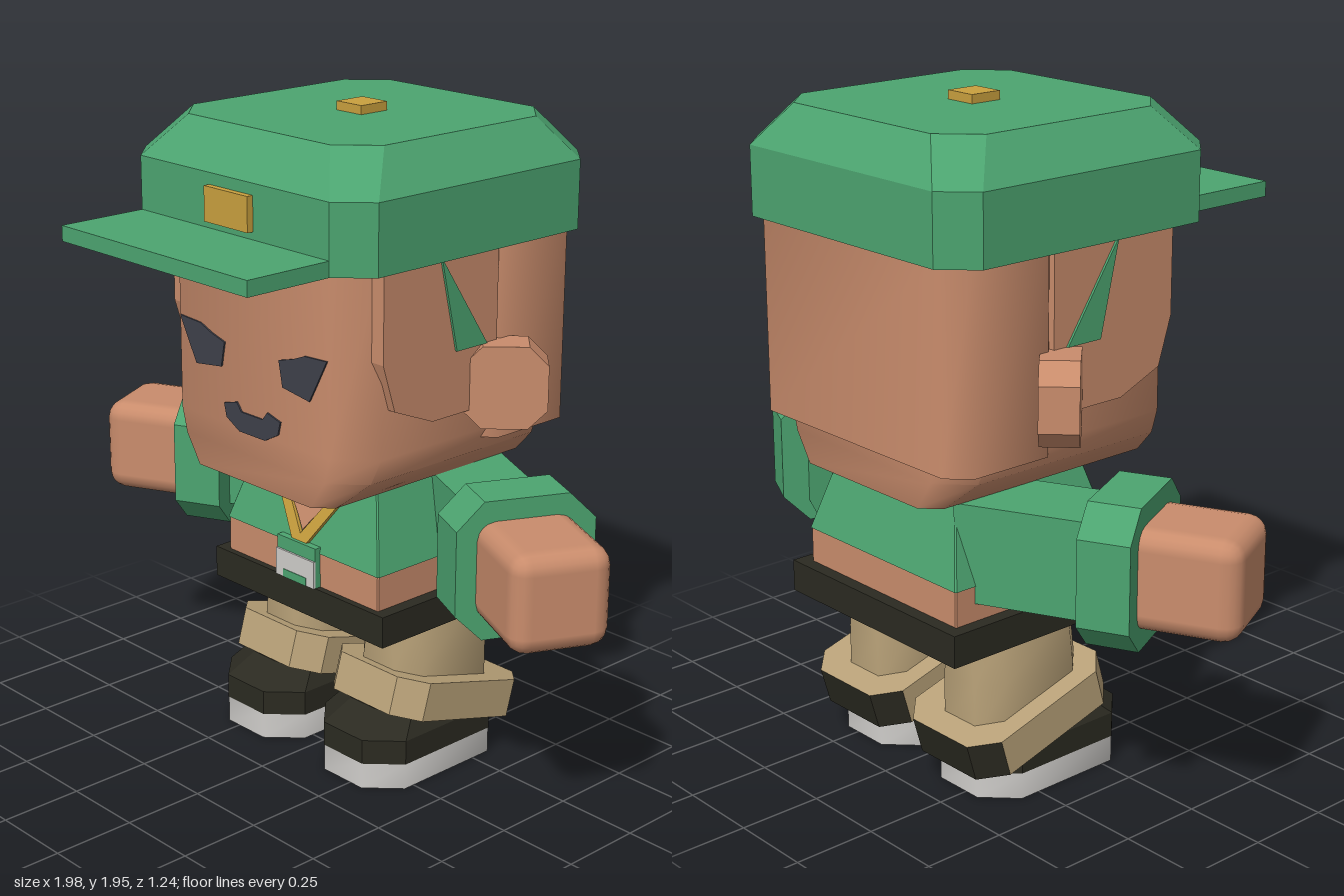
import * as THREE from 'three';
import { toCreasedNormals } from 'three/addons/utils/BufferGeometryUtils.js';
import { RoundedBoxGeometry } from 'three/addons/geometries/RoundedBoxGeometry.js';

const mat = (name, color) => {
  const m = new THREE.MeshStandardMaterial({ color });
  m.name = name;
  return m;
};

// Rectangle with chamfered corners, anticlockwise seen from above
const ring = (y, x0, x1, z0, z1, c) => [
  [x1, z1 - c], [x1, z0 + c], [x1 - c, z0], [x0 + c, z0],
  [x0, z0 + c], [x0, z1 - c], [x0 + c, z1], [x1 - c, z1],
].map(([x, z]) => new THREE.Vector3(x, y, z));

// Closed solid through rings, bottom to top; sides listed in accent use the second material
function loft(rings, accent = []) {
  const tris = [[], []];
  for (let r = 0; r + 1 < rings.length; r++) {
    for (let i = 0; i < 8; i++) {
      const j = (i + 1) % 8, lo = rings[r], hi = rings[r + 1];
      tris[accent.includes(i) ? 1 : 0].push(lo[i], lo[j], hi[j], lo[i], hi[j], hi[i]);
    }
  }
  const bottom = rings[0], top = rings[rings.length - 1];
  for (let i = 1; i < 7; i++) {
    tris[0].push(top[0], top[i], top[i + 1], bottom[0], bottom[i + 1], bottom[i]);
  }
  const g = new THREE.BufferGeometry().setFromPoints([...tris[0], ...tris[1]]);
  if (accent.length) {
    g.addGroup(0, tris[0].length, 0);
    g.addGroup(tris[0].length, tris[1].length, 1);
  }
  g.computeVertexNormals();
  return g;
}

// Flat outline given thickness, centred on its own plane
function plate(points, depth = 0.008) {
  const shape = new THREE.Shape(points.map(([x, y]) => new THREE.Vector2(x, y)));
  return new THREE.ExtrudeGeometry(shape, { depth, bevelEnabled: false }).translate(0, 0, -depth / 2);
}

export function createModel() {
  const green = mat('green cloth', 0x4ca470);
  const skin = mat('skin', 0xc98c6c);
  const gold = mat('gold', 0xc9a03e);
  const tan = mat('tan trousers', 0xb8a178);
  const dark = mat('dark leather', 0x2b2a21);
  const pale = mat('pale sole', 0xcfcdca);
  const ink = mat('face ink', 0x3e404a);

  const model = new THREE.Group();
  model.name = 'cappedFigure';
  const add = (name, geometry, material, x = 0, y = 0, z = 0, parent = model) => {
    const m = new THREE.Mesh(geometry, material);
    m.name = name;
    m.position.set(x, y, z);
    parent.add(m);
    return m;
  };
  const box = (w, h, d) => new THREE.BoxGeometry(w, h, d);

  // Cap
  add('cap', loft([
    ring(1.6, -0.48, 0.48, -0.62, 0.34, 0.09),
    ring(1.8, -0.48, 0.48, -0.62, 0.34, 0.09),
    ring(1.92, -0.39, 0.39, -0.54, 0.245, 0.1),
  ]), green);
  add('brim', box(0.78, 0.045, 0.3), green, 0, 1.6225, 0.47);
  add('capBadge', box(0.18, 0.1, 0.03), gold, 0, 1.717, 0.345);
  add('capButton', box(0.1, 0.035, 0.1), gold, 0, 1.928, -0.145);

  // Head with narrowing jaw, and the fuller back of the head
  add('head', toCreasedNormals(loft([
    ring(0.9, -0.29, 0.29, -0.56, 0.27, 0.05),
    ring(0.985, -0.385, 0.385, -0.56, 0.27, 0.09),
    ring(1.06, -0.415, 0.415, -0.56, 0.27, 0.1),
    ring(1.62, -0.415, 0.415, -0.56, 0.27, 0.1),
  ]), 0.9), skin);
  add('headBack', toCreasedNormals(loft([
    ring(1.03, -0.44, 0.44, -0.59, -0.21, 0.06),
    ring(1.62, -0.44, 0.44, -0.59, -0.21, 0.06),
  ]), 0.9), skin);

  // Face
  const eye = [[0.31, 1.34], [0.22, 1.335], [0.17, 1.315], [0.115, 1.3],
    [0.13, 1.225], [0.24, 1.21], [0.27, 1.265]];
  add('mouth', plate([[-0.12, 1.12], [-0.065, 1.135], [-0.045, 1.11], [0.045, 1.11], [0.065, 1.135],
    [0.12, 1.12], [0.11, 1.08], [0.055, 1.05], [-0.055, 1.05], [-0.11, 1.08]]), ink, 0, 0, 0.271);

  // Torso, belt and shirt
  add('belly', loft([
    ring(0.5, -0.325, 0.325, -0.5, 0.09, 0.004),
    ring(0.665, -0.325, 0.325, -0.5, 0.09, 0.004),
  ]), skin);
  add('shirt', loft([
    ring(0.665, -0.328, 0.328, -0.503, 0.093, 0.004),
    ring(0.905, -0.255, 0.255, -0.44, 0.03, 0.004),
  ]), green);
  add('belt', box(0.73, 0.095, 0.65), dark, 0, 0.513, -0.215);

  // Open collar lying on the sloping chest
  const collar = new THREE.Group();
  collar.name = 'collar';
  collar.position.set(0, 0.665, 0.094);
  collar.rotation.x = -0.257;
  model.add(collar);
  add('openNeck', plate([[-0.16, 0.243], [0.16, 0.243], [0.03, 0.09], [0, 0.05], [-0.03, 0.09]]), skin, 0, 0, 0, collar);

  // Buckle
  add('buckleTop', box(0.165, 0.125, 0.03), green, 0, 0.622, 0.095);
  add('bucklePlate', box(0.165, 0.084, 0.008), pale, 0, 0.602, 0.112);
  add('buckleInset', box(0.1, 0.025, 0.006), green, 0, 0.573, 0.115);

  for (const s of [1, -1]) {
    const side = s > 0 ? 'left' : 'right';
    const mirror = (pts) => pts.map(([x, y]) => [x * s, y]);
    add(side + 'Eye', plate(mirror(eye)), ink, 0, 0, 0.271);
    add(side + 'Strap', plate(mirror([[0.187, 0.243], [0.147, 0.243], [0, 0.04], [0, 0.015], [0.03, 0.015]]), 0.02),
      gold, 0, 0, 0, collar);

    // Side of the head: sideburn panel, green flash and ear
    add(side + 'Sideburn', plate([[0.19, 1.62], [0.19, 1.34], [0.145, 1.2], [0, 1.14],
      [-0.25, 1.14], [-0.25, 1.62]], 0.06), skin, s * 0.41).rotation.y = -Math.PI / 2;
    add(side + 'Flash', plate([[-0.02, 1.6], [-0.085, 1.325], [-0.205, 1.325]]),
      green, s * 0.443).rotation.y = -Math.PI / 2;
    const ear = loft([-0.055, 0.055].map((y) => ring(y, -0.12, 0.12, -0.12, 0.12, 0.055)));
    add(side + 'Ear', ear.rotateX(Math.PI / 2), skin, s * 0.471, 1.205, -0.254).rotation.y = s * Math.PI / 4;

    // Arm reaching out and forward along its own x axis
    const arm = new THREE.Group();
    arm.name = side + 'Arm';
    arm.position.set(s * 0.63, 0.756, -0.146);
    arm.rotation.y = s > 0 ? -0.45 : Math.PI + 0.45;
    model.add(arm);
    add('sleeve', box(0.44, 0.285, 0.25), green, -0.24, 0, 0, arm);
    const cuff = loft([-0.075, 0.075].map((y) => ring(y, -0.205, 0.205, -0.205, 0.205, 0.08)));
    add('sleeveCuff', cuff.rotateZ(-Math.PI / 2), green, 0, 0, 0, arm);
    add('hand', new RoundedBoxGeometry(0.36, 0.29, 0.29, 2, 0.055), skin, 0.172, 0, 0, arm);

    // Leg and shoe
    const leg = new THREE.Group();
    leg.name = side + 'Leg';
    leg.position.x = s * 0.218;
    model.add(leg);
    add('trouserLeg', toCreasedNormals(loft([
      ring(0.18, -0.125, 0.125, -0.4, -0.02, 0.06),
      ring(0.34, -0.125, 0.125, -0.4, -0.02, 0.06),
      ring(0.48, -0.105, 0.105, -0.4, -0.02, 0.06),
    ]), 0.9), tan, 0, 0, 0, leg);
    add('trouserCuff', loft([-0.058, 0.058].map((y) => ring(y, -0.188, 0.188, -0.257, 0.257, 0.07)), [1, 2, 3]),
      [tan, dark], 0, 0.211, -0.211, leg).rotation.x = -0.28;
    add('shoe', loft([
      ring(0.08, -0.172, 0.172, -0.405, 0.125, 0.09),
      ring(0.155, -0.172, 0.172, -0.405, 0.125, 0.09),
      ring(0.22, -0.13, 0.13, -0.35, 0.045, 0.08),
    ]), dark, 0, 0, 0, leg);
    add('sole', toCreasedNormals(loft([
      ring(0, -0.17, 0.17, -0.405, 0.125, 0.09),
      ring(0.08, -0.17, 0.17, -0.405, 0.125, 0.09),
    ]), 0.9), pale, 0, 0, 0, leg);
  }
  return model;
}
